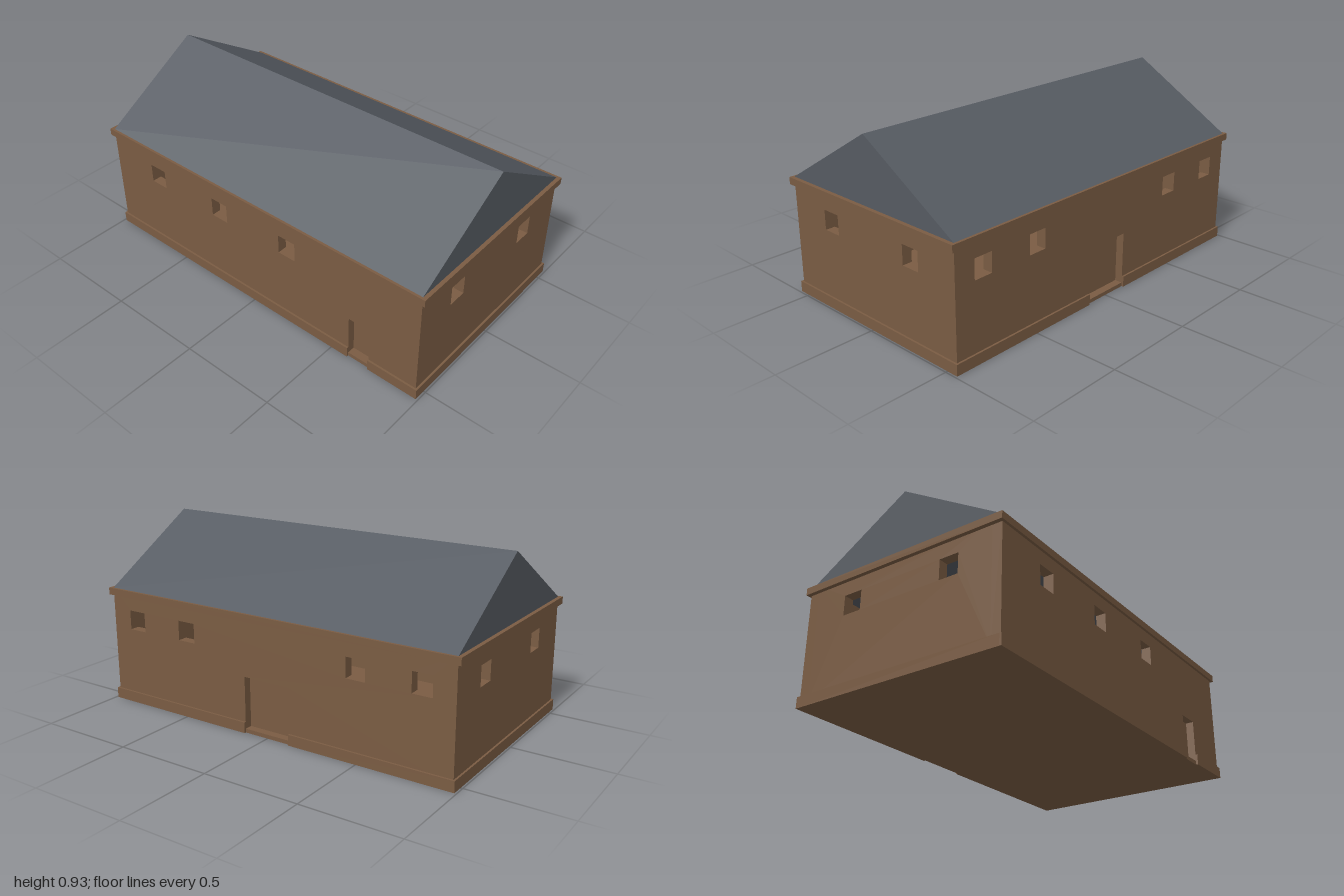
import * as THREE from 'three';

const HX = 0.98, HZ = 0.55;          // outer half sizes of the walls
const T = 0.05;                      // wall thickness
const FLOOR = 0.02, EAVES = 0.6, RIDGE = 0.93;
const PLINTH_H = 0.055, PLINTH_OUT = 0.01;
const WIN = 0.1, SILL = 0.395;

const brown = new THREE.MeshStandardMaterial({ color: 0x7a5c43, flatShading: true });
const slate = new THREE.MeshStandardMaterial({ color: 0x565b62, flatShading: true });

function add(parent, name, geometry, material = brown) {
  const mesh = new THREE.Mesh(geometry, material);
  mesh.name = name;
  parent.add(mesh);
  return mesh;
}

function box(parent, name, x0, x1, y0, y1, z0, z1) {
  const mesh = add(parent, name, new THREE.BoxGeometry(x1 - x0, y1 - y0, z1 - z0));
  mesh.position.set((x0 + x1) / 2, (y0 + y1) / 2, (z0 + z1) / 2);
  return mesh;
}

function rect(PathType, x0, x1, y0, y1) {
  return new PathType([[x0, y0], [x1, y0], [x1, y1], [x0, y1]].map(p => new THREE.Vector2(...p)));
}

const extrude = (shape, depth) => new THREE.ExtrudeGeometry(shape, { depth, bevelEnabled: false });

// One wall facing +z, with its outer face at z = 0 and an optional doorway
function wallGeometry(half, windows, door) {
  const pts = [[-half, FLOOR]];
  if (door) pts.push([door.x0, FLOOR], [door.x0, door.top], [door.x1, door.top], [door.x1, FLOOR]);
  pts.push([half, FLOOR], [half, EAVES], [-half, EAVES]);
  const shape = new THREE.Shape(pts.map(p => new THREE.Vector2(...p)));
  for (const x of windows) {
    shape.holes.push(rect(THREE.Path, x - WIN / 2, x + WIN / 2, SILL, SILL + WIN));
  }
  return extrude(shape, T).translate(0, 0, -T);
}

// Long side: wall, recessed door and the plinth broken at the doorway
function longSide(name, windows, door) {
  const side = new THREE.Group();
  side.name = name;
  add(side, 'wall', wallGeometry(HX, windows, door));
  box(side, 'door', door.x0, door.x1, FLOOR, door.top, -T, -T + 0.01);
  const end = HX + PLINTH_OUT;
  box(side, 'plinth', -end, door.x0, 0, PLINTH_H, 0, PLINTH_OUT);
  box(side, 'plinth', door.x1, end, 0, PLINTH_H, 0, PLINTH_OUT);
  side.position.z = HZ;
  return side;
}

// Short side: wall with two windows and an unbroken plinth
function shortSide(name) {
  const side = new THREE.Group();
  side.name = name;
  add(side, 'wall', wallGeometry(HZ - T, [-0.275, 0.275]));
  box(side, 'plinth', -HZ, HZ, 0, PLINTH_H, 0, PLINTH_OUT);
  return side;
}

export function createModel() {
  const house = new THREE.Group();
  house.name = 'house';

  box(house, 'floor', -HX, HX, 0, FLOOR, -HZ, HZ);

  // Front and back
  house.add(longSide('frontSide', [-0.66, -0.22, 0.22], { x0: 0.595, x1: 0.715, top: 0.235 }));
  const back = new THREE.Group();
  back.name = 'backSide';
  back.add(longSide('backWallAssembly', [-0.82, -0.49, 0.49, 0.82], { x0: -0.13, x1: 0.13, top: 0.285 }));
  back.rotation.y = Math.PI;
  house.add(back);

  // Ends
  for (const s of [1, -1]) {
    const end = shortSide(s > 0 ? 'leftEnd' : 'rightEnd');
    end.rotation.y = s * Math.PI / 2;
    end.position.x = s * HX;
    house.add(end);
  }

  // Cornice ring under the eaves
  const ring = rect(THREE.Shape, -1, 1, -0.563, 0.563);
  ring.holes.push(rect(THREE.Path, -HX, HX, -HZ, HZ));
  const cornice = add(house, 'cornice', extrude(ring, 0.036));
  cornice.rotation.x = -Math.PI / 2;
  cornice.position.y = EAVES - 0.036;

  // Gable roof
  const gable = new THREE.Shape([[-HZ, EAVES], [HZ, EAVES], [0, RIDGE]].map(p => new THREE.Vector2(...p)));
  const roof = add(house, 'roof', extrude(gable, HX * 2).translate(0, 0, -HX), slate);
  roof.rotation.y = Math.PI / 2;

  return house;
}
